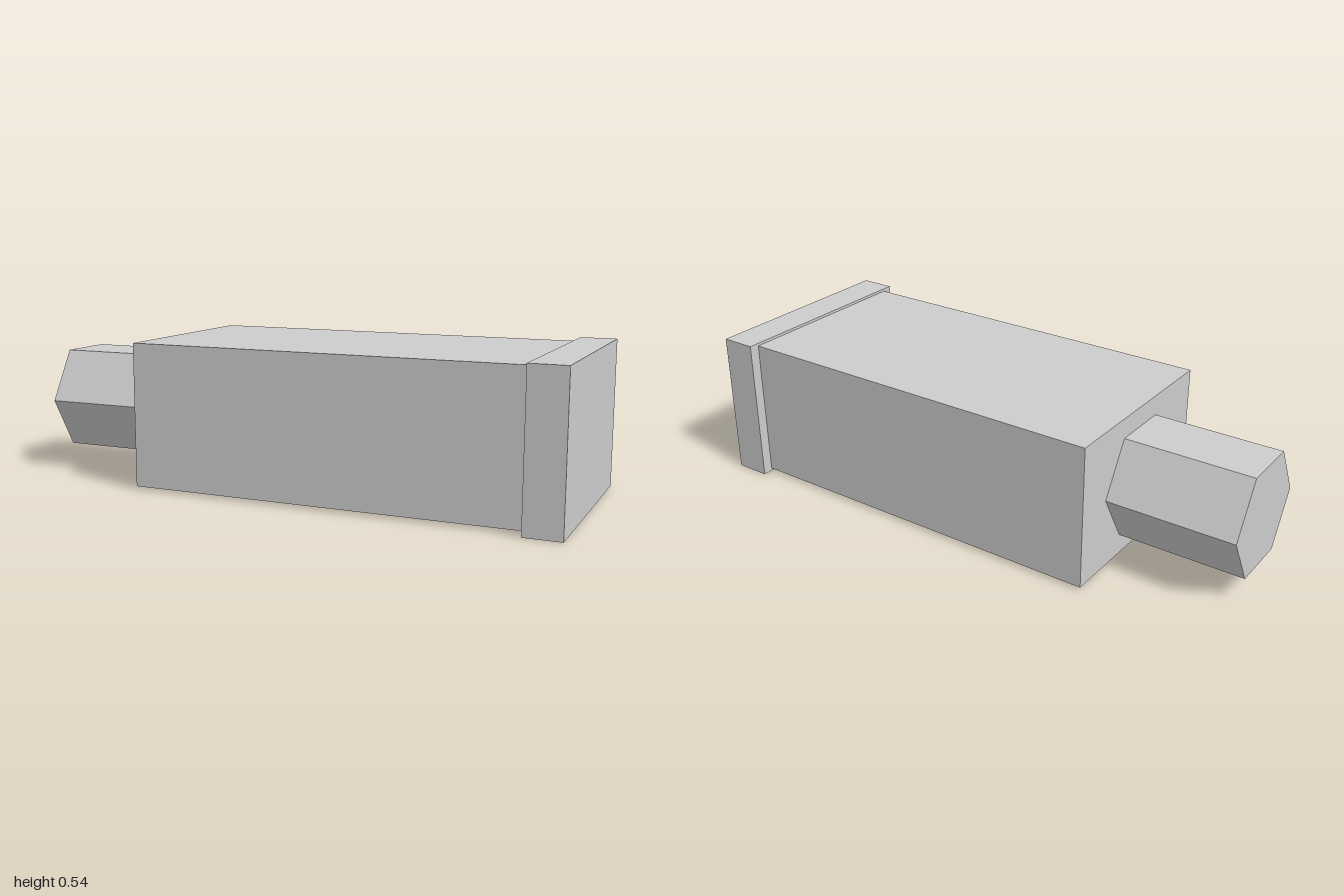
import * as THREE from 'three';

export function createModel() {
  const group = new THREE.Group();
  const grey = new THREE.MeshStandardMaterial({ color: 0xcccccc, flatShading: true });
  grey.name = 'light grey';
  const midY = 0.268;

  const add = (name, geometry, x) => {
    const mesh = new THREE.Mesh(geometry, grey);
    mesh.name = name;
    mesh.position.set(x, midY, 0);
    group.add(mesh);
    return mesh;
  };

  // Rectangular block between x = -0.54 and 0.87
  add('body', new THREE.BoxGeometry(1.41, 0.516, 0.714), 0.165);

  // Slightly larger plate closing the left end
  add('endCap', new THREE.BoxGeometry(0.13, 0.536, 0.79), 0.935);

  // Hexagonal stub with flat top and bottom, corners pointing along z
  const hex = new THREE.CylinderGeometry(0.213, 0.213, 0.46, 6);
  hex.rotateZ(Math.PI / 2);
  add('hexShaft', hex, -0.77);

  return group;
}
